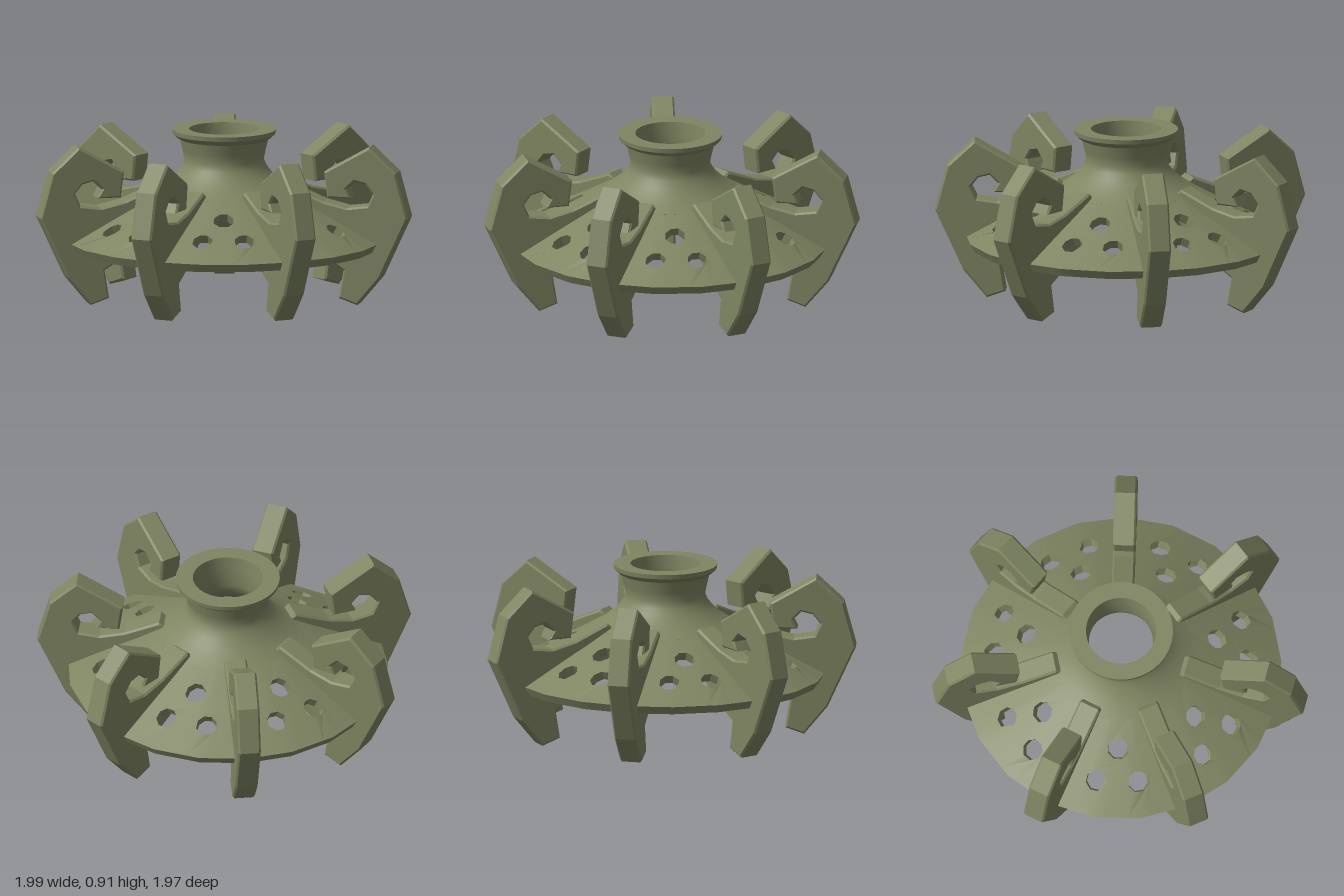
import * as THREE from 'three';
import { mergeGeometries, toCreasedNormals } from 'three/addons/utils/BufferGeometryUtils.js';

const olive = new THREE.MeshStandardMaterial({ color: 0x7f8562 });
olive.name = 'olive';

const LEGS = 7;
const START = (120 * Math.PI) / 180;
const SECTOR = (2 * Math.PI) / LEGS;
const FACET = SECTOR / 3;
const RIM = 0.85, INNER = 0.38, SLOPE = 0.54, THICK = 0.05;

// Maps (angle, radius, depth) onto the sloping skirt, whose rim has 21 straight sides
function bendToCone(geometry) {
  const p = geometry.attributes.position;
  const len = Math.hypot(1, SLOPE);
  for (let i = 0; i < p.count; i++) {
    const a = p.getX(i), r = p.getY(i), drop = (1 - p.getZ(i)) * THICK;
    const k = ((a % FACET) + FACET) % FACET - FACET / 2;
    const chord = Math.cos(FACET / 2) / Math.cos(k);
    const w = (r - INNER) / (RIM - INNER);
    const radius = r * (1 + (chord - 1) * w) - (drop * SLOPE) / len;
    const y = 0.33 + (RIM - r) * SLOPE - drop / len;
    p.setXYZ(i, radius * Math.cos(START + a), y, radius * Math.sin(START + a));
  }
  return geometry;
}

// One patch of the skirt, with an optional octagonal hole at [angle, radius]
function skirtCell(a0, a1, r0, r1, hole) {
  const steps = Math.round((a1 - a0) / (FACET / 4));
  const pts = [];
  for (let i = 0; i <= steps; i++) pts.push(new THREE.Vector2(a0 + ((a1 - a0) * i) / steps, r0));
  for (let i = steps; i >= 0; i--) pts.push(new THREE.Vector2(a0 + ((a1 - a0) * i) / steps, r1));
  const shape = new THREE.Shape(pts);
  if (hole) {
    const ring = [];
    for (let i = 0; i < 8; i++) {
      const t = ((i + 0.5) * Math.PI) / 4;
      ring.push(new THREE.Vector2(hole[0] + (0.056 / hole[1]) * Math.cos(t), hole[1] + 0.051 * Math.sin(t)));
    }
    shape.holes.push(new THREE.Path(ring));
  }
  return bendToCone(new THREE.ExtrudeGeometry(shape, { depth: 1, bevelEnabled: false }));
}

function makeSkirt() {
  const cells = [];
  const split = 0.6, mid = SECTOR / 2, off = 0.166;
  for (let s = 0; s < LEGS; s++) {
    const a = s * SECTOR;
    // inner band: one hole per sector
    for (let i = 0; i < 3; i++) {
      cells.push(skirtCell(a + i * FACET, a + (i + 1) * FACET, INNER, split, i === 1 ? [a + mid, 0.52] : null));
    }
    // outer band: two holes per sector
    cells.push(skirtCell(a, a + FACET / 2, split, RIM));
    cells.push(skirtCell(a + FACET / 2, a + mid, split, RIM, [a + mid - off, 0.68]));
    cells.push(skirtCell(a + mid, a + mid + FACET, split, RIM, [a + mid + off, 0.68]));
    cells.push(skirtCell(a + mid + FACET, a + SECTOR, split, RIM));
  }
  return toCreasedNormals(mergeGeometries(cells), 0.6);
}

// Flared shoulder, neck, flange and bore as one turned loop
function makeNeck() {
  const profile = [
    [0.38, 0.584], [0.33, 0.614], [0.285, 0.647], [0.25, 0.682], [0.224, 0.715], [0.21, 0.75],
    [0.22, 0.8], [0.235, 0.86], [0.25, 0.868], [0.272, 0.888], [0.275, 0.912],
    [0.185, 0.912], [0.178, 0.85], [0.17, 0.74], [0.18, 0.7], [0.21, 0.655], [0.27, 0.6], [0.356, 0.54],
  ].map(([r, y]) => new THREE.Vector2(r, y));
  return toCreasedNormals(new THREE.LatheGeometry(profile, 84), 0.6);
}

// Flat bracket: foot, bowed outer edge, curled hook and the rib that crosses the skirt
function makeLeg() {
  const outline = [
    [0.735, 0], [0.86, 0.15], [1.01, 0.475], [0.945, 0.715], [0.8, 0.85],
    [0.555, 0.71], [0.572, 0.572], [0.7, 0.572], [0.675, 0.62], [0.72, 0.665],
    [0.78, 0.65], [0.82, 0.6], [0.79, 0.535], [0.68, 0.52], [0.55, 0.55],
    [0.36, 0.63], [0.335, 0.61], [0.345, 0.45], [0.47, 0.3], [0.66, 0.185], [0.635, 0.035],
  ].map(([r, y]) => new THREE.Vector2(r, y));
  const bevel = 0.01;
  const geometry = new THREE.ExtrudeGeometry(new THREE.Shape(outline), {
    depth: 0.12 - 2 * bevel, bevelEnabled: true, bevelSegments: 1,
    bevelSize: bevel, bevelThickness: bevel, bevelOffset: -bevel,
  });
  return geometry.translate(0, 0, -0.06 + bevel);
}

export function createModel() {
  const model = new THREE.Group();
  model.name = 'leggedCollar';
  const body = new THREE.Group();
  body.name = 'body';
  body.position.set(0.012, 0, 0.018);
  model.add(body);

  const add = (name, geometry) => {
    const mesh = new THREE.Mesh(geometry, olive);
    mesh.name = name;
    body.add(mesh);
    return mesh;
  };
  add('skirt', makeSkirt());
  add('neck', makeNeck());

  // Seven evenly spaced legs
  const leg = makeLeg();
  for (let i = 0; i < LEGS; i++) {
    add('leg' + (i + 1), leg).rotation.y = -(START + i * SECTOR);
  }
  return model;
}
